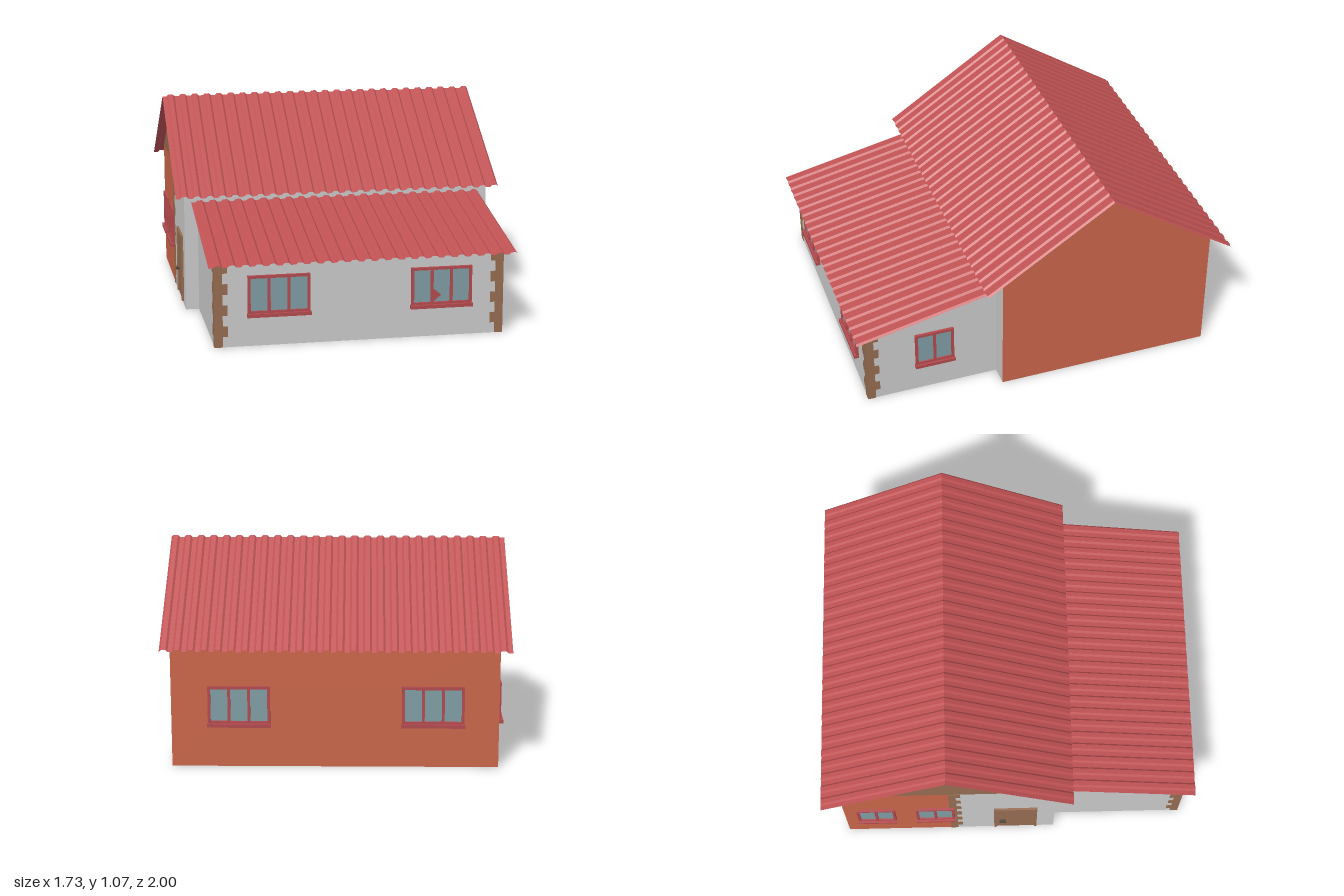
import * as THREE from 'three';

const mat = (name, color, side = THREE.FrontSide) => {
  const m = new THREE.MeshStandardMaterial({ color, side });
  m.name = name;
  return m;
};

export function createModel() {
  const D = THREE.DoubleSide;
  const plaster = mat('grey plaster', 0xcacaca, D);
  const orange = mat('orange plaster', 0xca664a, D);
  const wood = mat('brown wood', 0x966c50, D);
  const roofRed = mat('roof red', 0xc05254, D);
  const trim = mat('trim red', 0xb34a4e);
  const glass = mat('glass', 0x7f9da3);
  const metal = mat('dark metal', 0x4a4038);

  const house = new THREE.Group();
  house.name = 'house';

  const add = (parent, name, geo, material, x = 0, y = 0, z = 0) => {
    const m = new THREE.Mesh(geo, material);
    m.name = name;
    m.position.set(x, y, z);
    parent.add(m);
    return m;
  };
  const box = (parent, name, material, x0, x1, y0, y1, z0, z1) =>
    add(parent, name, new THREE.BoxGeometry(x1 - x0, y1 - y0, z1 - z0), material,
      (x0 + x1) / 2, (y0 + y1) / 2, (z0 + z1) / 2);
  const rect = (x0, x1, y0, y1) => [[x0, y0], [x1, y0], [x1, y1], [x0, y1]];
  const vecs = pts => pts.map(p => new THREE.Vector2(...p));

  // A facade is a group whose local +z points out of the wall
  const facade = (name, angle, x, z) => {
    const g = new THREE.Group();
    g.name = name;
    g.rotation.y = angle;
    g.position.set(x, 0, z);
    house.add(g);
    return g;
  };
  const wall = (parent, name, material, pts, holes = []) => {
    const s = new THREE.Shape(vecs(pts));
    for (const h of holes) s.holes.push(new THREE.Path(vecs(rect(...h))));
    return add(parent, name, new THREE.ShapeGeometry(s), material);
  };

  // Framed window with a row of panes and a projecting sill
  const windowUnit = (parent, x0, x1, y0, panes) => {
    const g = new THREE.Group();
    g.name = 'window';
    parent.add(g);
    const y1 = y0 + 0.21, b = 0.018, m = 0.014;
    const s = new THREE.Shape(vecs(rect(x0 + 0.004, x1 - 0.004, y0 + 0.01, y1)));
    const w = (x1 - x0 - 2 * b - (panes - 1) * m) / panes;
    for (let i = 0; i < panes; i++) {
      const a = x0 + b + i * (w + m);
      s.holes.push(new THREE.Path(vecs(rect(a, a + w, y0 + 0.03, y1 - 0.014))));
    }
    add(g, 'windowFrame', new THREE.ExtrudeGeometry(s, { depth: 0.014, bevelEnabled: false }), trim);
    add(g, 'windowGlass', new THREE.PlaneGeometry(x1 - x0 - 0.02, 0.18), glass, (x0 + x1) / 2, y0 + 0.11, 0.005);
    box(g, 'windowSill', trim, x0, x1, y0, y0 + 0.018, 0, 0.026);
  };
  const hole = (x0, x1, y0) => [x0 + 0.012, x1 - 0.012, y0 + 0.025, y0 + 0.2];

  // Toothed corner stones; dir is the way the teeth point
  const quoin = (parent, x, dir, height, rows) => {
    const h = height / rows;
    for (let i = 0; i < rows; i++) {
      const e = x + dir * ((rows - i) % 2 ? 0.065 : 0.04);
      box(parent, 'cornerStone', wood, Math.min(x, e), Math.max(x, e), i * h, (i + 1) * h, -0.001, 0.003);
    }
  };

  // Ribbed roof sheet between two (z, y) edges
  const roofSheet = (name, x0, x1, waves, [za, ya], [zb, yb]) => {
    const profile = [[0, 0], [0.35, 0], [0.5, 1], [0.85, 1]];
    const pos = [], index = [], p = (x1 - x0) / waves;
    for (let i = 0; i <= waves; i++) {
      for (const [f, h] of i < waves ? profile : [[0, 0]]) {
        const x = x0 + (i + f) * p, dy = h * 0.01;
        pos.push(x, ya + dy, za, x, yb + dy, zb);
      }
    }
    for (let k = 0; k + 3 < pos.length / 3; k += 2) index.push(k, k + 2, k + 1, k + 1, k + 2, k + 3);
    let geo = new THREE.BufferGeometry();
    geo.setAttribute('position', new THREE.Float32BufferAttribute(pos, 3));
    geo.setIndex(index);
    geo = geo.toNonIndexed();
    geo.computeVertexNormals();
    add(house, name, geo, roofRed);
  };

  const L = -0.815, R = 0.825, F = 0.24, B = -0.9, ridge = -0.33, eave = 0.682, peak = 1.058;
  const eL = -0.745, eR = 0.72, eF = 0.94, eLow = 0.43, eHigh = 0.582;

  // Main block
  wall(facade('mainFront', 0, 0, F), 'mainFrontWall', plaster, rect(L, R, 0, eave));

  const right = facade('mainRight', Math.PI / 2, R, 0);
  wall(right, 'rightGableWall', orange, [[-F, 0], [-B, 0], [-B, eave], [-ridge, peak], [-F, eave]]);

  const back = facade('mainBack', Math.PI, 0, B);
  const backWins = [[-0.645, -0.325, 0.21], [0.325, 0.645, 0.21]];
  wall(back, 'backWall', orange, rect(-R, -L, 0, eave), backWins.map(w => hole(...w)));
  backWins.forEach(w => windowUnit(back, ...w, 3));

  // Left side: orange rear half, grey front half, wooden gable
  const left = facade('mainLeft', -Math.PI / 2, L, 0);
  const leftWins = [[-0.835, -0.62, 0.21], [-0.515, -0.3, 0.21]];
  wall(left, 'leftRearWall', orange, rect(B, ridge, 0, eave),
    [hole(...leftWins[0]), [-0.503, -0.335, 0.235, 0.41]]);
  wall(left, 'leftFrontWall', plaster, rect(ridge, F, 0, eave));
  wall(left, 'leftGable', wood, [[B, eave], [F, eave], [ridge, peak]]);
  quoin(left, ridge, 1, eave, 12);
  leftWins.forEach(w => windowUnit(left, ...w, 2));

  // Door with frame and handle
  box(left, 'door', wood, -0.08, 0.135, 0.02, 0.37, 0, 0.005);
  box(left, 'doorFrameSide', wood, -0.09, -0.078, 0.02, 0.38, 0, 0.012);
  box(left, 'doorFrameSide', wood, 0.133, 0.145, 0.02, 0.38, 0, 0.012);
  box(left, 'doorFrameTop', wood, -0.09, 0.145, 0.368, 0.38, 0, 0.012);
  box(left, 'doorHandle', metal, -0.06, -0.025, 0.15, 0.158, 0.005, 0.022);

  // Front extension
  const front = facade('extensionFront', 0, 0, eF);
  const frontWins = [[-0.585, -0.265, 0.15], [0.24, 0.56, 0.15]];
  wall(front, 'extensionFrontWall', plaster, rect(eL, eR, 0, eLow), frontWins.map(w => hole(...w)));
  frontWins.forEach(w => windowUnit(front, ...w, 3));
  wall(front, 'windowWedge', trim, [[0.357, 0.18], [0.398, 0.215], [0.357, 0.25]]).position.z = 0.009;
  quoin(front, eL, 1, eLow, 8);
  quoin(front, eR, -1, eLow, 8);

  const extRight = facade('extensionRight', Math.PI / 2, eR, 0);
  wall(extRight, 'extensionRightWall', plaster,
    [[-eF, 0], [-F, 0], [-F, eHigh], [-eF, eLow]], [hole(-0.685, -0.47, 0.153)]);
  windowUnit(extRight, -0.685, -0.47, 0.153, 2);
  quoin(extRight, -eF, 1, eLow, 8);

  const extLeft = facade('extensionLeft', -Math.PI / 2, eL, 0);
  wall(extLeft, 'extensionLeftWall', plaster, [[F, 0], [eF, 0], [eF, eLow], [F, eHigh]]);
  quoin(extLeft, eF, -1, eLow, 8);

  // Roofs
  roofSheet('mainRoofFront', -0.867, 0.867, 26, [0.333, 0.622], [ridge, 1.06]);
  roofSheet('mainRoofBack', -0.867, 0.867, 26, [ridge, 1.06], [-1, 0.622]);
  roofSheet('extensionRoof', -0.778, 0.778, 23, [1, 0.42], [0.225, 0.585]);

  return house;
}
